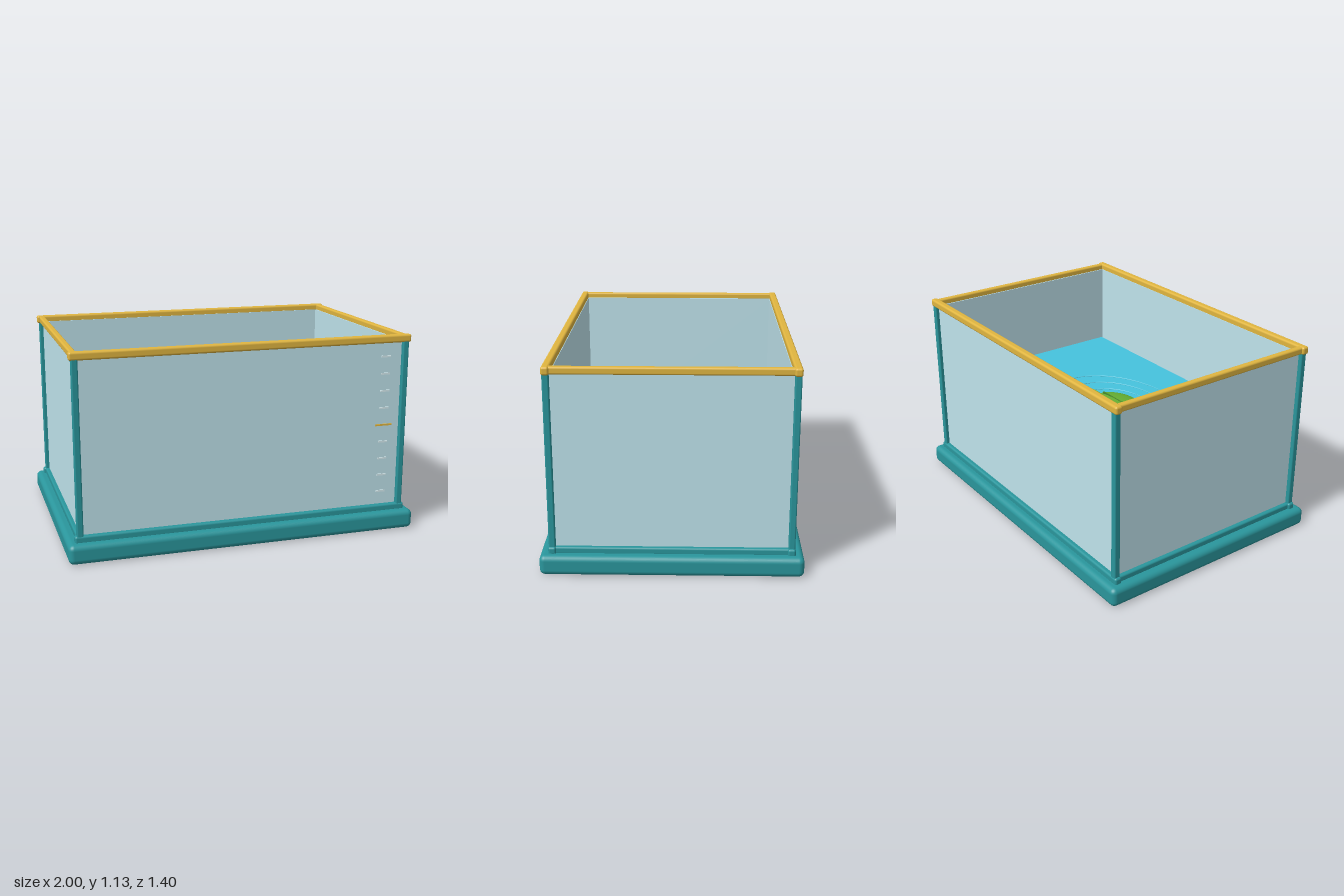
import * as THREE from 'three';
import { RoundedBoxGeometry } from 'three/addons/geometries/RoundedBoxGeometry.js';

const mat = (color) => new THREE.MeshStandardMaterial({ color });

export function createModel() {
  const model = new THREE.Group();
  const teal = mat(0x2a969c), gold = mat(0xe0b540), glass = mat(0xbfe3ec);
  const water = mat(0x45c3de), ripple = mat(0x52c6df), sand = mat(0xc8b496);
  const leafDark = mat(0x66b032), leafLight = mat(0x93cc3c), vein = mat(0x4a8a2a);
  const mark = mat(0xd8eef2);

  const add = (name, geometry, material, x, y, z, parent = model) => {
    const mesh = new THREE.Mesh(geometry, material);
    mesh.name = name;
    mesh.position.set(x, y, z);
    parent.add(mesh);
    return mesh;
  };
  const box = (w, h, d) => new THREE.BoxGeometry(w, h, d);
  const rounded = (w, h, d, r) => new RoundedBoxGeometry(w, h, d, 4, r);

  // Plinth
  add('base', rounded(2, 0.11, 1.4, 0.03), teal, 0, 0.055, 0);

  // Rectangular frame: long bars front and back, slightly slimmer bars at the sides
  const frame = (name, material, y) => {
    const group = new THREE.Group();
    group.name = name;
    for (const s of [-1, 1]) {
      add('longBar', rounded(1.92, 0.045, 0.042, 0.012), material, 0, y, s * 0.634, group);
      add('sideBar', rounded(0.036, 0.04, 1.26, 0.01), material, s * 0.93, y, 0, group);
    }
    model.add(group);
  };
  frame('lowerFrame', teal, 0.122);
  frame('topRim', gold, 1.112);

  // Corner posts and glass panes
  for (const s of [-1, 1]) {
    for (const t of [-1, 1])
      add('cornerPost', rounded(0.036, 0.98, 0.036, 0.008), teal, s * 0.93, 0.61, t * 0.634);
    add('longPane', box(1.84, 0.98, 0.02), glass, 0, 0.61, s * 0.62);
    add('sidePane', box(0.02, 0.98, 1.24), glass, s * 0.915, 0.61, 0);
  }

  // Sand bed and water body
  add('sandBed', box(1.81, 0.09, 1.22), sand, 0, 0.15, 0);
  add('water', box(1.76, 0.43, 1.17), water, 0, 0.405, 0);

  // Ripples around the floating leaves
  for (const r of [0.285, 0.395, 0.505]) {
    const geometry = new THREE.TorusGeometry(r, 0.004, 8, 96);
    geometry.rotateX(Math.PI / 2).scale(1, 1, 0.695);
    add('ripple', geometry, ripple, -0.1, 0.621, 0);
  }

  // Floating leaves: flattened ellipsoids with a midrib
  const leaf = (name, material, x, z, rx, ry, rz, ribLength) => {
    add(name, new THREE.SphereGeometry(1, 40, 24).scale(rx, ry, rz), material, x, 0.63, z);
    if (ribLength) add('leafVein', box(ribLength, 0.014, 0.006), vein, x, 0.625 + ry, z);
  };
  leaf('largeLeaf', leafDark, -0.1, 0, 0.196, 0.035, 0.132, 0.3);
  leaf('rightLeaf', leafLight, 0.13, -0.062, 0.11, 0.022, 0.077, 0.12);
  leaf('backLeaf', leafLight, -0.232, -0.172, 0.09, 0.02, 0.06, 0);

  // Level scale on the front pane, with a longer mark at the water line
  for (let i = 0; i < 9; i++) {
    const main = i === 4;
    add(main ? 'waterLevelMark' : 'scaleMark', box(main ? 0.1 : 0.055, 0.01, 0.008),
      main ? gold : mark, 0.818, 0.222 + i * 0.0988, 0.632);
  }

  return model;
}
